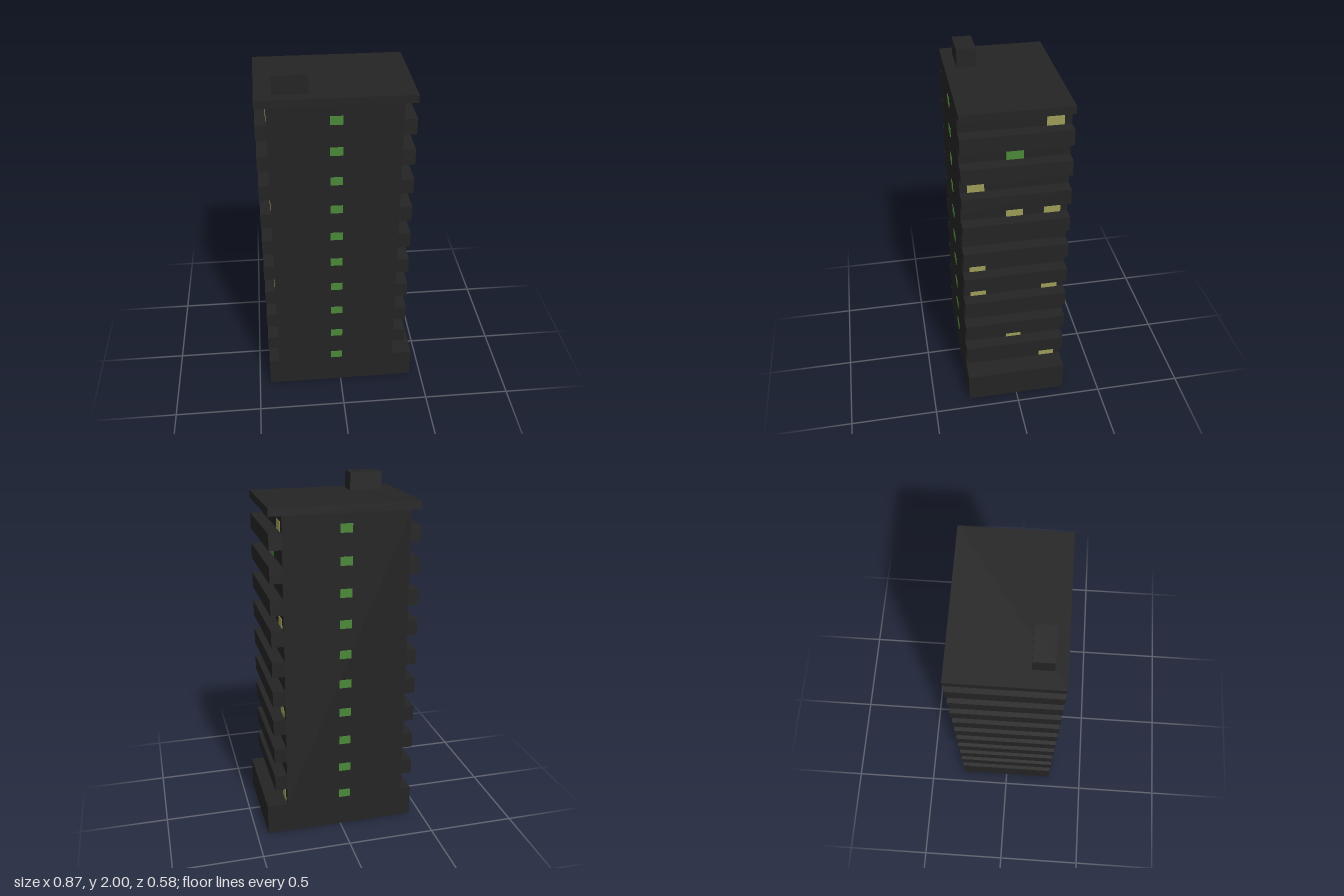
import * as THREE from 'three';

const FLOORS = 10, STEP = 0.175, BASE_H = 0.18, DEPTH = 0.578;
const CORE = [-0.376, 0.317], BAND = [-0.434, 0.386];

export function createModel() {
  const group = new THREE.Group();
  const concrete = new THREE.MeshStandardMaterial({ color: 0x242424, side: THREE.DoubleSide });
  concrete.name = 'darkConcrete';
  const green = new THREE.MeshStandardMaterial({ color: 0x4a8838 });
  green.name = 'greenGlass';
  const yellow = new THREE.MeshStandardMaterial({ color: 0x9c9c58 });
  yellow.name = 'litYellowGlass';

  // box given by its min and max on each axis
  const block = (name, [x0, x1], [y0, y1], [z0, z1], material) => {
    const mesh = new THREE.Mesh(new THREE.BoxGeometry(x1 - x0, y1 - y0, z1 - z0), material);
    mesh.position.set((x0 + x1) / 2, (y0 + y1) / 2, (z0 + z1) / 2);
    mesh.name = name;
    group.add(mesh);
    return mesh;
  };
  const zSpan = [-DEPTH / 2, DEPTH / 2];

  // hollow base, open underneath (bottom face of the box left out)
  const base = block('base', [-0.434, 0.434], [0, BASE_H], zSpan, concrete);
  const index = Array.from(base.geometry.index.array);
  index.splice(18, 6);
  base.geometry.setIndex(index);
  base.geometry.clearGroups();

  // tower, roof slab and rooftop hut
  block('core', CORE, [BASE_H, 1.857], zSpan, concrete);
  block('roofSlab', BAND, [1.857, 1.9], zSpan, concrete);
  block('rooftopHut', [-0.342, -0.158], [1.9, 2], [0.12, 0.225], concrete);

  // balcony bands on both sides
  for (let i = 0; i < FLOORS - 1; i++) {
    const y = [0.282 + i * STEP, 0.37 + i * STEP];
    block('rightBalconyBand', [BAND[0], CORE[0]], y, zSpan, concrete);
    block('leftBalconyBand', [CORE[1], BAND[1]], y, zSpan, concrete);
  }

  // stairwell windows, front and back
  const T = 0.003;
  for (let i = 0; i < FLOORS; i++) {
    const y = [0.181 + i * STEP, 0.229 + i * STEP];
    for (const s of [-1, 1]) {
      const z = s * DEPTH / 2;
      block(s > 0 ? 'frontStairWindow' : 'backStairWindow', [-0.058, 0.009], y, [z - T, z + T], green);
    }
  }

  // flat windows: [floor, column along z, material]
  const leftWindows = [
    [9, -1, yellow], [8, 0, green], [7, 1, yellow], [6, 0, yellow], [6, -1, yellow],
    [4, 1, yellow], [3, 1, yellow], [3, -1, yellow], [1, 0, yellow], [0, -1, yellow],
  ];
  const rightWindows = [
    [9, 0, yellow], [9, 1, yellow], [8, -1, yellow], [7, -1, yellow], [7, 0, yellow],
    [6, 1, yellow], [5, -1, yellow], [3, 1, yellow], [1, 0, green],
  ];
  const addWindows = (name, x, list) => {
    for (const [floor, column, material] of list) {
      const y = BASE_H + 0.001 + floor * STEP, z = column * 0.205;
      block(name, [x - T, x + T], [y, y + 0.066], [z - 0.045, z + 0.045], material);
    }
  };
  addWindows('leftFlatWindow', CORE[1], leftWindows);
  addWindows('rightFlatWindow', CORE[0], rightWindows);

  return group;
}
